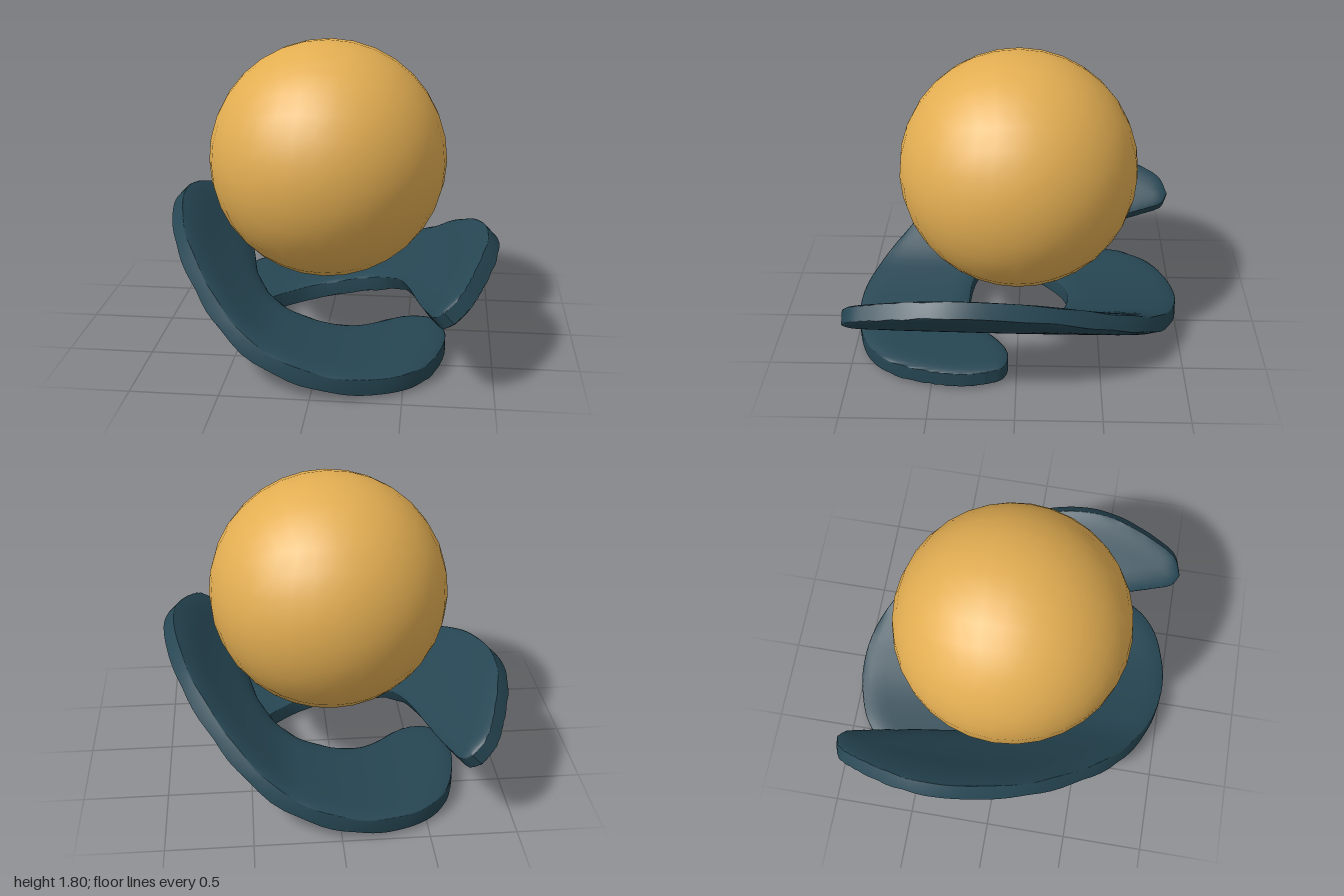
import * as THREE from 'three';

const gold = new THREE.MeshStandardMaterial({ color: 0xe3ae52 });
gold.name = 'gold';
const navy = new THREE.MeshStandardMaterial({ color: 0x264653 });
navy.name = 'deep blue';

const spline = (pts) => new THREE.CatmullRomCurve3(pts.map(([x, z]) => new THREE.Vector3(x, 0, z)));

// Plan outline of one blade, from its low lobe to its raised tip
const inner = spline([[-.71, -.18], [-.66, -.08], [-.55, -.05], [-.43, -.09], [-.3, -.2], [-.15, -.29],
  [.02, -.31], [.2, -.28], [.36, -.17], [.415, -.08], [.46, 0], [.53, .25], [.57, .45], [.61, .65],
  [.65, .82], [.69, .95], [.74, .985]]);
const outer = spline([[-.71, -.18], [-.73, -.3], [-.71, -.5], [-.62, -.75], [-.48, -.89], [-.3, -.965],
  [-.08, -1], [.2, -.95], [.5, -.77], [.7, -.53], [.86, -.25], [.94, 0], [.985, .27], [.975, .5],
  [.89, .8], [.82, .94], [.74, .985]]);

// Height of the bent blade's middle surface along x
const bendPoints = [[-.8, .068], [-.4, .07], [-.2, .083], [0, .118], [.15, .155], [.33, .215], [.5, .32],
  [.7, .475], [.87, .63], [1.05, .8]];
function bend(x) {
  let i = 1;
  while (i < bendPoints.length - 2 && x > bendPoints[i + 1][0]) i++;
  if (x < bendPoints[1][0]) i = 0;
  const slope = (k) => {
    const a = bendPoints[Math.max(k - 1, 0)], b = bendPoints[Math.min(k + 1, bendPoints.length - 1)];
    return (b[1] - a[1]) / (b[0] - a[0]);
  };
  const [x0, y0] = bendPoints[i], [x1, y1] = bendPoints[i + 1];
  const w = x1 - x0, t = (x - x0) / w, t2 = t * t, t3 = t2 * t;
  return (2 * t3 - 3 * t2 + 1) * y0 + (t3 - 2 * t2 + t) * w * slope(i)
    + (3 * t2 - 2 * t3) * y1 + (t3 - t2) * w * slope(i + 1);
}

function bladeGeometry() {
  const stations = 96, across = 16, ring = 2 * (across + 1);
  const rim = [...inner.getPoints(160), ...outer.getPoints(160)];
  const pos = [], index = [];
  for (let s = 0; s <= stations; s++) {
    const t = (1 - Math.cos(Math.PI * s / stations)) / 2 * 0.6 + s / stations * 0.4;
    const a = inner.getPoint(t), b = outer.getPoint(t);
    // Ring: over the top from inner to outer edge, then back underneath
    for (let k = 0; k < ring; k++) {
      const top = k <= across;
      const u = (1 - Math.cos(Math.PI * (top ? k : ring - 1 - k) / across)) / 2;
      const p = a.clone().lerp(b, u);
      const d = Math.min(...rim.map((r) => r.distanceTo(p)));
      const q = 1 - Math.min(d / 0.12, 1);
      const half = (0.035 + 0.03 * Math.sqrt(1 - q * q)) * (top ? 1 : -1);
      const m = (bend(p.x + .01) - bend(p.x - .01)) / .02, len = Math.hypot(1, m);
      pos.push(p.x - half * m / len, bend(p.x) + half / len, p.z);
    }
  }
  for (let s = 0; s < stations; s++) {
    for (let k = 0; k < ring; k++) {
      const n = (k + 1) % ring;
      const a = s * ring + k, b = a + ring, c = (s + 1) * ring + n, d = s * ring + n;
      index.push(a, b, c, a, c, d);
    }
  }
  const g = new THREE.BufferGeometry();
  g.setAttribute('position', new THREE.Float32BufferAttribute(pos, 3));
  g.setIndex(index);
  g.computeVertexNormals();
  return g;
}

// Ball made by rounding a subdivided cube
function ballGeometry(radius) {
  const g = new THREE.BoxGeometry(2, 2, 2, 8, 8, 8);
  const p = g.attributes.position, v = new THREE.Vector3();
  for (let i = 0; i < p.count; i++) {
    v.fromBufferAttribute(p, i);
    // Even out the angular spacing of the cube grid
    v.set(...v.toArray().map((c) => Math.tan(c * Math.PI / 4))).normalize();
    g.attributes.normal.setXYZ(i, v.x, v.y, v.z);
    p.setXYZ(i, v.x * radius, v.y * radius, v.z * radius);
  }
  return g;
}

export function createModel() {
  const model = new THREE.Group();
  model.name = 'ballOnStand';

  const ball = new THREE.Mesh(ballGeometry(0.71), gold);
  ball.name = 'ball';
  ball.position.y = 1.095;
  model.add(ball);

  // Two identical interlocking blades, half a turn apart
  const blade = bladeGeometry();
  ['leftBlade', 'rightBlade'].forEach((name, i) => {
    const mesh = new THREE.Mesh(blade, navy);
    mesh.name = name;
    mesh.rotation.y = i * Math.PI;
    model.add(mesh);
  });
  return model;
}
